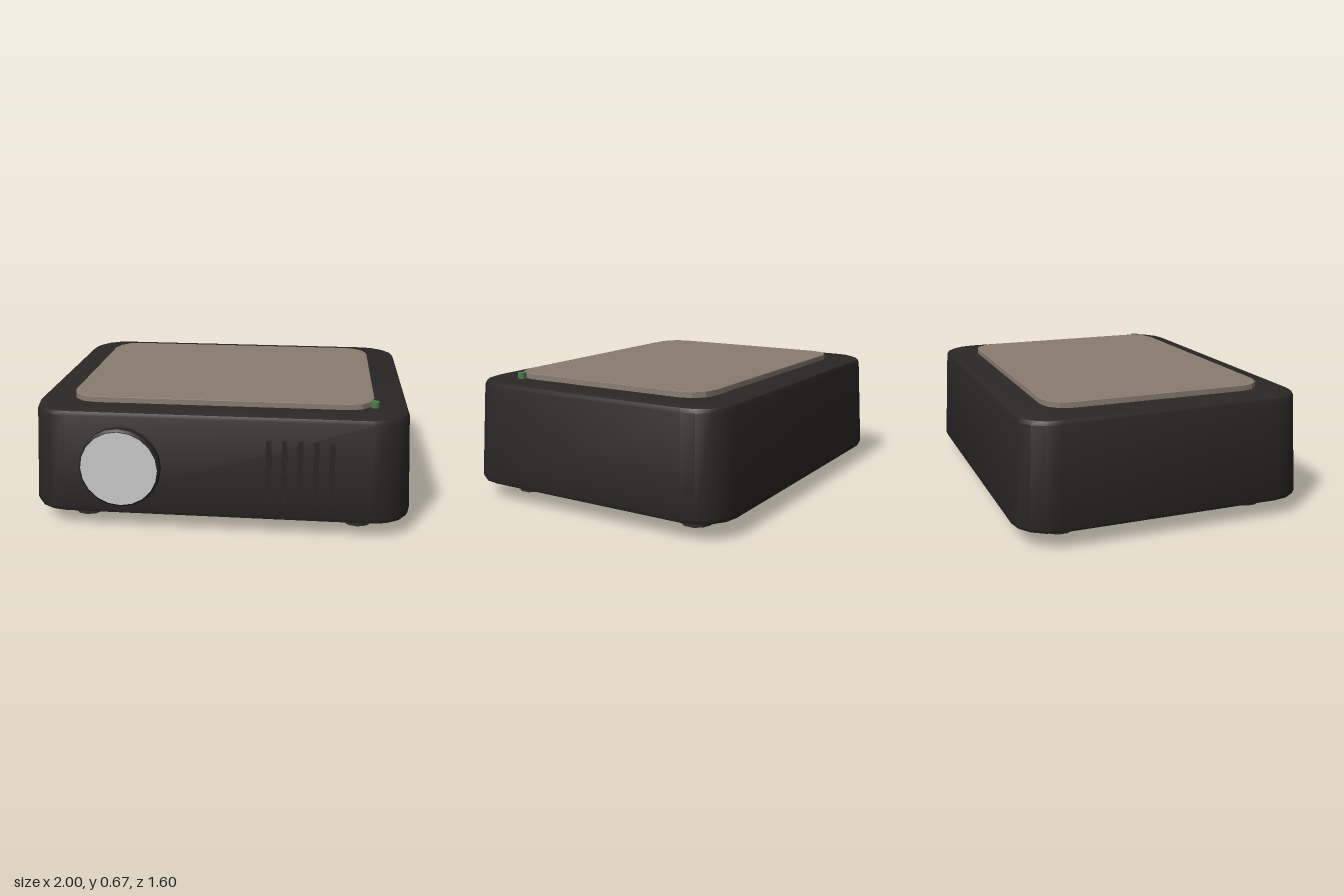
import * as THREE from 'three';
import { toCreasedNormals } from 'three/addons/utils/BufferGeometryUtils.js';

// Outline of a rounded rectangle in the xz plane
function outline(hx, hz, r, segs) {
  const pts = [];
  const corners = [[1, 1], [-1, 1], [-1, -1], [1, -1]];
  corners.forEach(([sx, sz], c) => {
    for (let i = 0; i <= segs; i++) {
      const a = (c + i / segs) * Math.PI / 2;
      pts.push([sx * (hx - r) + r * Math.cos(a), sz * (hz - r) + r * Math.sin(a)]);
    }
  });
  return pts;
}

// Rounded slab stacked from [y, inset] levels, bottom to top, with flat caps
function slab(hx, hz, r, segs, levels) {
  const pos = [], index = [];
  const n = 4 * (segs + 1);
  for (const [y, d] of levels) {
    for (const [x, z] of outline(hx - d, hz - d, r - d * 0.5, segs)) pos.push(x, y, z);
  }
  for (let l = 0; l < levels.length - 1; l++) {
    for (let i = 0; i < n; i++) {
      const a = l * n + i, b = l * n + (i + 1) % n;
      index.push(a, a + n, b, b, a + n, b + n);
    }
  }
  const last = (levels.length - 1) * n;
  for (let i = 1; i < n - 1; i++) {
    index.push(0, i, i + 1);
    index.push(last, last + i + 1, last + i);
  }
  const g = new THREE.BufferGeometry();
  g.setAttribute('position', new THREE.Float32BufferAttribute(pos, 3));
  g.setIndex(index);
  return toCreasedNormals(g, 0.5);
}

export function createModel() {
  const model = new THREE.Group();
  const paint = (color) => new THREE.MeshStandardMaterial({ color });
  const dark = paint(0x2a2725), footMat = paint(0x332e2a);
  const add = (name, geometry, material, x = 0, y = 0, z = 0) => {
    const mesh = new THREE.Mesh(geometry, material);
    mesh.name = name;
    mesh.position.set(x, y, z);
    model.add(mesh);
    return mesh;
  };

  // Tapered housing with softened top and bottom edges
  add('housing', slab(1, 0.785, 0.2, 4, [
    [0.083, 0.025], [0.091, 0.007], [0.11, 0], [0.612, 0.028], [0.632, 0.036], [0.64, 0.055],
  ]), dark, 0, 0, -0.015);

  // Raised top panel
  add('topPanel', slab(0.795, 0.595, 0.13, 3, [[0.63, 0], [0.668, 0], [0.67, 0.003]]),
    paint(0x8a7d71), 0, 0, -0.003);

  // Indicator light at the panel's front left corner
  add('indicatorLight', new THREE.CylinderGeometry(0.023, 0.023, 0.035, 12), paint(0x4f7a4c), 0.797, 0.6535, 0.53);

  // Lens: bevelled bezel and glass
  const profile = [[0, 0], [0.213, 0], [0.213, 0.088], [0.203, 0.099], [0, 0.099]]
    .map(([r, y]) => new THREE.Vector2(r, y));
  const bezel = toCreasedNormals(new THREE.LatheGeometry(profile, 20), 0.5);
  add('lensBezel', bezel.rotateX(Math.PI / 2), dark, -0.5, 0.35, 0.7);
  add('lensGlass', new THREE.CircleGeometry(0.2, 20), paint(0xcccccc), -0.5, 0.35, 0.8);

  // Vertical vent ribs on the front
  const rib = new THREE.BoxGeometry(0.028, 0.335, 0.03);
  for (let i = 0; i < 5; i++) add('ventRib' + (i + 1), rib, dark, 0.265 + i * 0.08, 0.35, 0.752);

  // Four feet
  const foot = new THREE.CylinderGeometry(0.08, 0.08, 0.1, 10);
  for (const sx of [-1, 1]) {
    for (const sz of [-1, 1]) {
      add((sz > 0 ? 'front' : 'back') + (sx > 0 ? 'Left' : 'Right') + 'Foot', foot, footMat,
        sx * 0.733, 0.05, sz * 0.535);
    }
  }
  return model;
}
